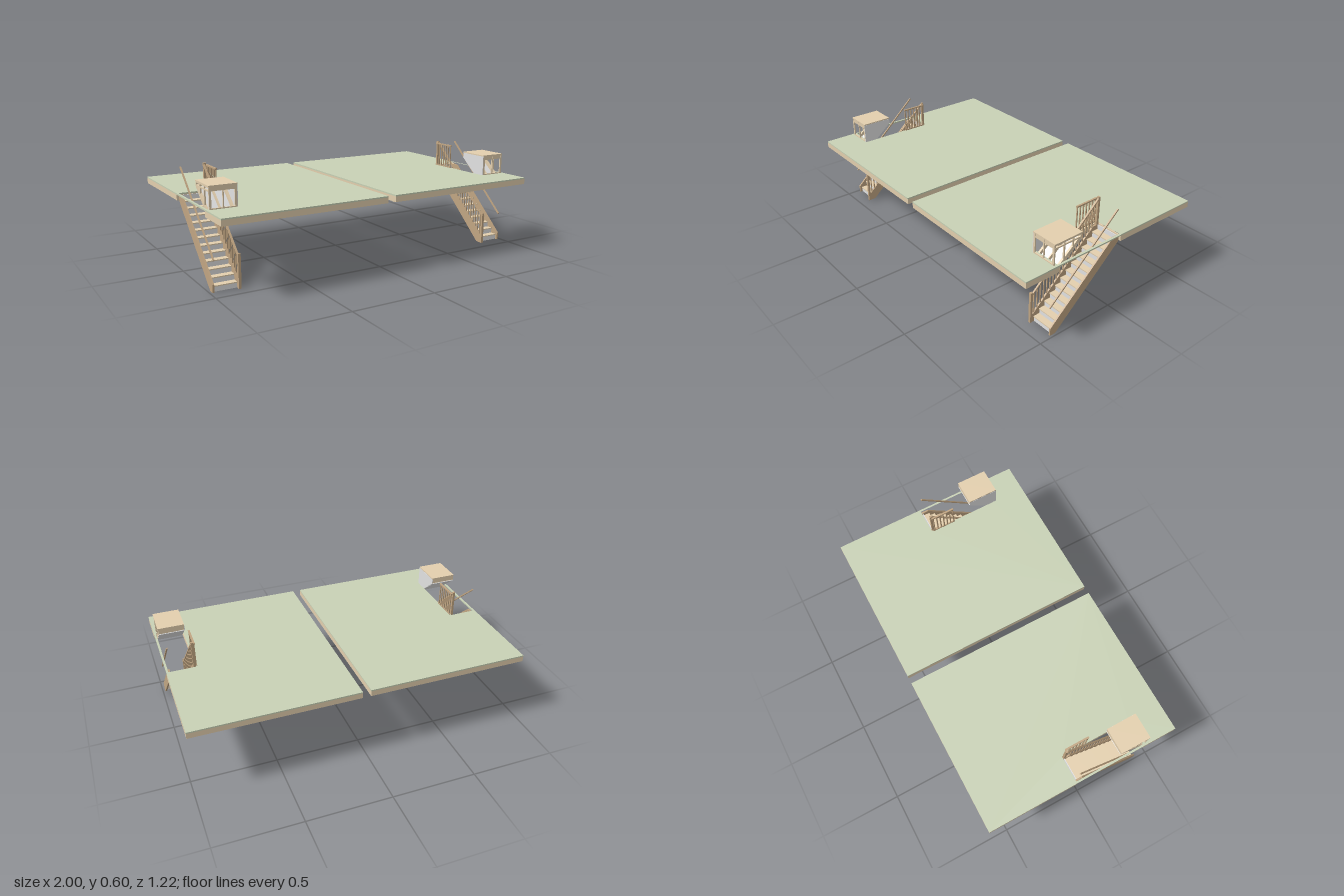
import * as THREE from 'three';
import { mergeGeometries } from 'three/addons/utils/BufferGeometryUtils.js';

const material = (name, color) => {
  const m = new THREE.MeshStandardMaterial({ color });
  m.name = name;
  return m;
};

// Box given by its min/max on each axis
const block = (x0, x1, y0, y1, z0, z1) =>
  new THREE.BoxGeometry(Math.abs(x1 - x0), y1 - y0, z1 - z0)
    .translate((x0 + x1) / 2, (y0 + y1) / 2, (z0 + z1) / 2);

// Square bar between two (z, y) points at a given x
function slopeBar(x, w, h, [z0, y0], [z1, y1]) {
  const dz = z1 - z0, dy = y1 - y0;
  return new THREE.BoxGeometry(w, h, Math.hypot(dz, dy))
    .rotateX(-Math.atan2(dy, dz)).translate(x, (y0 + y1) / 2, (z0 + z1) / 2);
}

// Flat plate with a (z, y) outline, centred on x
function sidePlate(x, w, points) {
  const shape = new THREE.Shape(points.map(p => new THREE.Vector2(...p)));
  return new THREE.ExtrudeGeometry(shape, { depth: w, bevelEnabled: false })
    .translate(0, 0, -w / 2).rotateY(-Math.PI / 2).translate(x, 0, 0);
}

export function createModel() {
  const green = material('floor green', 0xc8d1b5);
  const tan = material('framing tan', 0xe3cfae);
  const oak = material('stair oak', 0xc1a582);
  const grey = material('drywall grey', 0xe2e2e2);
  const model = new THREE.Group();
  model.name = 'floorWithStairs';

  const X0 = 0.025, X1 = 1, NX = 0.828;          // deck edges and stairwell side
  const Z0 = -0.613, Z1 = 0.61, NZ0 = -0.05, NZ1 = 0.395;
  const pitch = 0.905;
  const stringTop = z => 0.045 + (0.42 - z) * pitch;
  const railLine = z => 0.178 + (0.42 - z) * pitch;

  for (const s of [1, -1]) {
    const half = new THREE.Group();
    half.name = s > 0 ? 'leftHalf' : 'rightHalf';
    model.add(half);
    const add = (name, mat, ...geos) => {
      const mesh = new THREE.Mesh(geos.length > 1 ? mergeGeometries(geos) : geos[0], mat);
      mesh.name = name;
      half.add(mesh);
    };
    const box = (x0, x1, ...r) => block(s * x0, s * x1, ...r);

    // Floor sheet with the stairwell opening, leaving a narrow outer strip
    const rect = (x0, x1, z0, z1) => [[x0, z0], [x1, z0], [x1, z1], [x0, z1]]
      .map(([x, z]) => new THREE.Vector2(s * x, -z));
    const sheet = new THREE.Shape(rect(X0, X1, Z0, Z1));
    sheet.holes.push(new THREE.Path(rect(NX, 0.988, NZ0, NZ1)));
    add('floorSheet', green, new THREE.ExtrudeGeometry(sheet, { depth: 0.008, bevelEnabled: false })
      .rotateX(-Math.PI / 2).translate(0, 0.432, 0));

    // Rim boards and stairwell headers
    const t = 0.007, y0 = 0.4, y1 = 0.432;
    add('rimBoards', tan,
      box(X0, X1, y0, y1, Z0, Z0 + t), box(X0, X1, y0, y1, Z1 - t, Z1),
      box(X0, X0 + t, y0, y1, Z0, Z1),
      box(X1 - t, X1, y0, y1, Z0, NZ0), box(X1 - t, X1, y0, y1, NZ1, Z1),
      box(NX - t, NX, y0, y1, NZ0, NZ1),
      box(NX, X1, y0, y1, NZ0 - t, NZ0), box(NX, X1, y0, y1, NZ1, NZ1 + t));

    // Open-web floor joists running across the deck
    const joists = [];
    for (let i = 0; i < 17; i++) {
      const z = Z0 + 0.035 + i * 0.072, end = z > NZ0 - 0.015 && z < NZ1 + 0.015 ? NX - t : X1 - t;
      joists.push(box(X0 + t, end, 0.426, 0.432, z - 0.008, z + 0.008),
        box(X0 + t, end, 0.395, 0.401, z - 0.008, z + 0.008));
      const n = Math.round((end - X0) / 0.04), step = (end - X0 - 2 * t) / n;
      for (let k = 0; k < n; k++) {
        const dir = k % 2 ? 1 : -1;
        joists.push(new THREE.BoxGeometry(Math.hypot(step, 0.026), 0.006, 0.012)
          .rotateZ(s * dir * Math.atan2(0.026, step))
          .translate(s * (X0 + t + (k + 0.5) * step), 0.4135, z));
      }
    }
    add('floorJoists', tan, ...joists);

    // Stair stringers, treads and risers
    const profile = [[0.42, 0], [0.42, 0.045], [-0.005, 0.43], [-0.05, 0.43], [-0.05, 0.395], [0.385, 0]];
    add('stringers', oak, ...[0.838, 0.981].map(x => sidePlate(s * x, 0.01, profile)));
    const treads = [], risers = [], rise = 0.0335, run = 0.037;
    for (let i = 1; i <= 13; i++) {
      const y = i * rise, front = 0.408 - (i - 1) * run;
      if (i < 13) treads.push(box(0.843, 0.976, y - 0.006, y, i < 12 ? front - 0.042 : NZ0, front));
      risers.push(box(0.843, 0.976, y - rise, y - 0.006, front - 0.008, front - 0.004));
    }
    add('treads', tan, ...treads);
    add('risers', grey, ...risers);

    // Inner balustrade with newels, outer plain handrail
    add('newels', oak, box(0.83, 0.845, 0, 0.193, 0.419, 0.433),
      box(0.828, 0.842, 0.4, 0.6, -0.046, -0.032));
    const balusters = [];
    for (let i = 0; i < 19; i++) {
      const z = 0.405 - i * 0.0225;
      balusters.push(box(0.835, 0.841, stringTop(z) - 0.01, railLine(z), z - 0.003, z + 0.003));
    }
    add('balusters', oak, ...balusters);
    const low = [0.424, railLine(0.424)], high = [-0.035, railLine(-0.035)];
    add('handrails', oak, slopeBar(s * 0.839, 0.01, 0.008, low, high),
      slopeBar(s * 0.976, 0.008, 0.008, low, high));

    // Guard along the upper stairwell edge
    const guard = [box(0.818, 0.829, 0.583, 0.591, -0.04, 0.112),
      box(0.82, 0.827, 0.44, 0.447, -0.04, 0.112)];
    for (let i = 0; i < 7; i++) {
      const z = 0.106 - i * 0.0225;
      guard.push(box(0.821, 0.827, 0.44, 0.585, z - 0.003, z + 0.003));
    }
    add('landingGuard', oak, ...guard);

    // Headroom bulkhead: top, open frame, grey linings
    add('bulkheadTop', tan, box(0.83, 0.988, 0.558, 0.565, 0.23, 0.418));
    const frame = [];
    for (const [x, w] of [[0.839, 0.006], [0.908, 0.003], [0.979, 0.006]]) {
      frame.push(box(x - w, x + w, 0.44, 0.558, 0.41, 0.418),
        slopeBar(s * x, 2 * w, 0.02, [0.238, 0.535], [0.388, 0.41]));
    }
    frame.push(box(0.833, 0.985, 0.44, 0.446, 0.41, 0.418), box(0.833, 0.985, 0.535, 0.558, 0.411, 0.417),
      box(0.833, 0.985, 0.53, 0.558, 0.23, 0.237),
      box(0.977, 0.985, 0.532, 0.54, 0.236, 0.41), box(0.977, 0.985, 0.551, 0.558, 0.236, 0.41));
    for (const [z, y] of [[0.348, 0.452], [0.288, 0.502]])
      frame.push(box(0.977, 0.985, y, 0.558, z - 0.004, z + 0.004));
    add('bulkheadFrame', tan, ...frame);
    add('bulkheadSidePanel', grey, sidePlate(s * 0.831, 0.004,
      [[0.418, 0.44], [0.418, 0.558], [0.23, 0.558], [0.23, 0.527], [0.385, 0.4], [0.395, 0.4], [0.395, 0.44]]));
    add('bulkheadSlope', grey, slopeBar(s * 0.908, 0.152, 0.004, [0.23, 0.526], [0.385, 0.399]));
  }
  return model;
}
